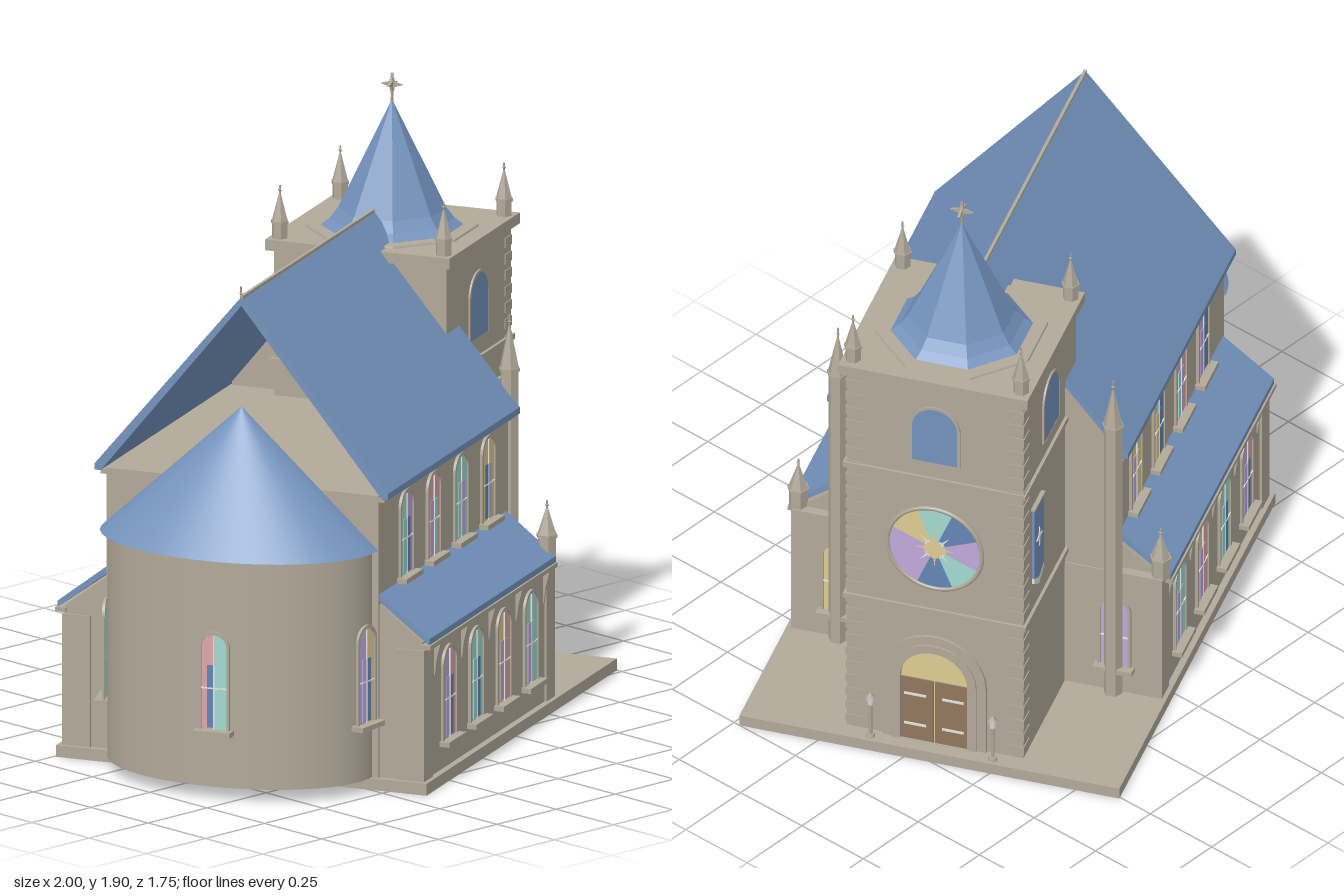
import * as THREE from 'three';

const mat = (name, color) => {
  const m = new THREE.MeshStandardMaterial({ color });
  m.name = name;
  return m;
};

export function createModel() {
  const stone = mat('stone', 0xb1a999), roof = mat('blue slate', 0x7493bd), wood = mat('door wood', 0x92775e);
  const teal = mat('teal glass', 0xa2dad0), purple = mat('purple glass', 0xc0a9da), pink = mat('pink glass', 0xdca8ac);
  const yellow = mat('yellow glass', 0xdfcc92), blue = mat('blue glass', 0x6485b5), white = mat('pale metal', 0xe4e4e0);

  // The church is built along x, then turned to its diagonal position
  const model = new THREE.Group();
  model.name = 'church';
  const body = new THREE.Group();
  body.name = 'building';
  body.position.z = 0.01;
  const turn = new THREE.Group();
  turn.name = 'turnedChurch';
  turn.rotation.y = 0.42;
  turn.add(body);
  model.add(turn);

  const add = (parent, name, geo, m, x = 0, y = 0, z = 0) => {
    const mesh = new THREE.Mesh(geo, m);
    mesh.name = name;
    mesh.position.set(x, y, z);
    parent.add(mesh);
    return mesh;
  };
  // Box given by its limits
  const block = (name, x0, x1, y0, y1, z0, z1, m = stone, parent = body) =>
    add(parent, name, new THREE.BoxGeometry(x1 - x0, y1 - y0, z1 - z0), m, (x0 + x1) / 2, (y0 + y1) / 2, (z0 + z1) / 2);
  // Box on side s, between distances za and zb from the centre line
  const sideBlock = (name, s, x0, x1, y0, y1, za, zb) =>
    block(name, x0, x1, y0, y1, Math.min(s * za, s * zb), Math.max(s * za, s * zb));
  const poly = pts => new THREE.Shape(pts.map(p => new THREE.Vector2(p[0], p[1])));
  const plate = (shape, depth) => new THREE.ExtrudeGeometry(shape, { depth, bevelEnabled: false, curveSegments: 12 });
  // Cross-section of (z, y) points run along x
  const runX = (name, pts, x0, x1, m) =>
    add(body, name, plate(poly(pts.map(p => [-p[0], p[1]])), x1 - x0).rotateY(Math.PI / 2), m, x0);
  const flat = geo => { const g = geo.toNonIndexed(); g.computeVertexNormals(); return g; };
  const facing = (name, x, y, z, angle) => {
    const g = new THREE.Group();
    g.name = name;
    g.position.set(x, y, z);
    g.rotation.y = angle;
    body.add(g);
    return g;
  };
  // Round-topped outline; side -1 or 1 gives only the left or right half
  const arch = (w, h, side = 0, y0 = 0) => {
    const r = w / 2, s = new THREE.Shape();
    s.moveTo(side > 0 ? 0 : -r, y0);
    s.lineTo(side < 0 ? 0 : r, y0);
    if (side < 0) s.lineTo(0, h);
    else s.lineTo(r, h - r);
    s.absarc(0, h - r, r, side < 0 ? Math.PI / 2 : 0, side > 0 ? Math.PI / 2 : Math.PI, false);
    s.closePath();
    return s;
  };
  const archFrame = (g, name, w, h, t, depth) => {
    const s = arch(w, h);
    s.holes.push(arch(w - 2 * t, h - t, 0, 0.001));
    add(g, name, plate(s, depth), stone);
  };

  // Stained-glass window: two halves with a lower pane in each
  const glassWindow = (x, y, z, angle, w, h, [a, b, c, d]) => {
    const g = facing('stainedWindow', x, y, z, angle);
    archFrame(g, 'windowFrame', w, h, 0.009, 0.009);
    const gw = w - 0.017;
    add(g, 'leftGlass', plate(arch(gw, h - 0.009, -1), 0.004), a);
    add(g, 'rightGlass', plate(arch(gw, h - 0.009, 1), 0.004), b);
    block('leftPane', -gw * 0.27, 0, 0.008, h * 0.66, 0, 0.006, c, g);
    block('rightPane', 0, gw * 0.27, 0.008, h * 0.66, 0, 0.006, d, g);
    block('mullion', -0.002, 0.002, 0, h - 0.015, 0, 0.008, white, g);
    block('crossBar', -gw / 2, gw / 2, h * 0.42, h * 0.42 + 0.004, 0, 0.008, white, g);
    block('windowSill', -w / 2 - 0.01, w / 2 + 0.01, -0.014, 0.002, -0.01, 0.032, stone, g);
  };

  // Hexagonal pinnacle with spike and tip
  const pinnacle = (x, z, y0, y1, r, spike) => {
    const g = facing('pinnacle', x, 0, z, 0), ys = y1 - spike;
    add(g, 'shaft', flat(new THREE.CylinderGeometry(r, r, ys - y0, 6)), stone, 0, (ys + y0) / 2);
    add(g, 'collar', flat(new THREE.CylinderGeometry(r * 1.15, r * 1.15, 0.01, 6)), stone, 0, ys);
    add(g, 'spike', flat(new THREE.ConeGeometry(r * 1.08, spike * 0.88, 6)), stone, 0, ys + spike * 0.44);
    add(g, 'tip', new THREE.CylinderGeometry(0.003, 0.003, spike * 0.3, 6), stone, 0, y1 - spike * 0.15);
    add(g, 'knob', new THREE.OctahedronGeometry(0.007), stone, 0, y1 - spike * 0.13);
  };
  // Four-pointed star outline
  const star = (long, short, inner) => poly([[0, long], [inner, inner], [short, 0], [inner, -inner],
    [0, -long], [-inner, -inner], [-short, 0], [-inner, inner]]);

  // Base plate, open beneath the tower
  const base = poly([[-0.74, -0.606], [0.82, -0.606], [0.82, 0.606], [-0.74, 0.606]]);
  base.holes.push(poly([[0.25, -0.27], [0.25, 0.27], [0.745, 0.27], [0.745, -0.27]]));
  add(body, 'basePlate', plate(base, 0.037).rotateX(-Math.PI / 2), stone);

  // Nave with a folded roof left open at the apse end
  block('naveWalls', -0.73, 0.345, 0.035, 0.925, -0.445, 0.445);
  runX('frontGable', [[-0.445, 0.92], [0.445, 0.92], [0.445, 0.95], [0, 1.49], [-0.445, 0.95]], 0.3, 0.345, stone);
  runX('naveRoof', [[-0.48, 0.918], [-0.46, 0.918], [0, 1.482], [0.46, 0.918], [0.48, 0.918], [0.48, 0.938], [0, 1.51], [-0.48, 0.938]],
    -0.74, 0.34, roof);
  block('ridgeCap', -0.74, 0.34, 1.503, 1.513, -0.005, 0.005);
  const bays = [-0.51, -0.287, -0.064, 0.159];
  const frontUpper = [[teal, purple, teal, blue], [pink, pink, purple, teal], [teal, teal, teal, purple], [yellow, yellow, blue, purple]];
  const backUpper = [[purple, blue, purple, blue], [purple, pink, teal, purple], [teal, blue, yellow, blue], [yellow, yellow, purple, yellow]];
  const lower = [[purple, pink, purple, blue], [teal, teal, teal, blue], [yellow, pink, purple, pink], [teal, teal, purple, teal]];

  // Both long sides, mirrored
  for (const s of [1, -1]) {
    const side = s > 0 ? 0 : Math.PI;
    sideBlock('naveCornice', s, -0.73, 0.338, 0.905, 0.92, 0.44, 0.465);
    runX('aisleWalls', [[s * 0.42, 0.035], [s * 0.585, 0.035], [s * 0.585, 0.475], [s * 0.42, 0.6]], -0.72, 0.32, stone);
    runX('aisleRoof', [[s * 0.44, 0.618], [s * 0.44, 0.595], [s * 0.608, 0.468], [s * 0.608, 0.488]], -0.722, 0.315, roof);
    sideBlock('aisleGutter', s, -0.728, 0.315, 0.455, 0.469, 0.58, 0.614);
    bays.forEach((x, i) => {
      glassWindow(x, 0.625, s * 0.445, side, 0.115, 0.27, (s > 0 ? frontUpper : backUpper)[i]);
      glassWindow(x, 0.125, s * 0.585, side, 0.118, 0.295, lower[i]);
    });
    for (let i = 0; i < 5; i++) {
      const x = -0.622 + i * 0.223;
      runX('eaveBracket', [[s * 0.58, 0.35], [s * 0.588, 0.35], [s * 0.594, 0.4], [s * 0.608, 0.455], [s * 0.58, 0.455]], x - 0.004, x + 0.004, stone);
    }
    sideBlock('aisleCorner', s, -0.726, -0.65, 0.035, 0.45, 0.5, 0.592);
    // End wall beside the tower, with its window behind the tall pinnacle
    sideBlock('aisleEndWall', s, 0.28, 0.35, 0.035, 0.487, 0.27, 0.592);
    glassWindow(0.35, 0.135, s * 0.442, Math.PI / 2, 0.105, 0.26, s > 0 ? [yellow, yellow, purple, yellow] : [purple, purple, teal, purple]);
    pinnacle(0.358, s * 0.439, 0.035, 1.22, 0.03, 0.17);
    pinnacle(0.318, s * 0.578, 0.48, 0.66, 0.03, 0.11);
  }

  // Rounded apse with half-cone roof
  const apse = add(body, 'apseWall', new THREE.CylinderGeometry(1, 1, 0.72, 48, 1, false, Math.PI, Math.PI), stone, -0.735, 0.4);
  apse.scale.set(0.285, 1, 0.425);
  const cone = add(body, 'apseRoof', new THREE.ConeGeometry(1, 0.41, 48, 1, false, Math.PI, Math.PI), roof, -0.738, 0.96);
  cone.scale.set(0.303, 1, 0.447);
  [[0.06, [pink, teal, blue, teal]], [1.42, [purple, yellow, purple, blue]], [-1.42, [purple, teal, purple, yellow]]].forEach(([f, glass]) => {
    const nx = -Math.cos(f) / 0.285, nz = Math.sin(f) / 0.425;
    glassWindow(-0.738 - 0.285 * Math.cos(f), 0.22, 0.427 * Math.sin(f), Math.atan2(nx, nz), 0.1, 0.31, glass);
  });

  // Tower shaft, string courses, top slab and corner stones
  block('towerWalls', 0.235, 0.762, 0.035, 1.39, -0.282, 0.282);
  for (const y of [0.525, 1.025]) block('stringCourse', 0.223, 0.772, y, y + 0.018, -0.292, 0.292);
  block('towerSlab', 0.21, 0.786, 1.386, 1.42, -0.302, 0.302);
  for (let i = 0; i < 26; i++) {
    const y = 0.05 + i * 0.051;
    for (const s of [1, -1]) sideBlock('cornerStone', s, 0.71, 0.765, y, y + 0.03, 0.23, 0.285);
  }
  for (const x of [0.247, 0.742]) for (const s of [1, -1]) pinnacle(x, s * 0.268, 1.41, 1.585, 0.025, 0.115);

  // Spire with flared foot and star finial
  add(body, 'spireFoot', flat(new THREE.CylinderGeometry(0.262, 0.265, 0.008, 8).rotateY(Math.PI / 8)), stone, 0.495, 1.422);
  const profile = [[0.22, 1.424], [0.19, 1.447], [0.165, 1.48], [0, 1.82]].map(p => new THREE.Vector2(p[0], p[1]));
  add(body, 'spire', flat(new THREE.LatheGeometry(profile, 8).rotateY(Math.PI / 8)), roof, 0.495);
  for (const a of [0, Math.PI / 2]) {
    const g = facing('finial', 0.495, 1.868, 0, a);
    add(g, 'finialStar', plate(star(0.036, 0.036, 0.008), 0.008), stone, 0, 0, -0.004);
  }
  add(body, 'finialRod', new THREE.CylinderGeometry(0.003, 0.005, 0.05, 6), stone, 0.495, 1.83);

  // Belfry openings and side banners
  for (const [x, z, a] of [[0.762, 0, Math.PI / 2], [0.495, 0.282, 0], [0.495, -0.282, Math.PI]]) {
    const g = facing('belfryWindow', x, 1.1, z, a);
    archFrame(g, 'belfryFrame', 0.162, 0.212, 0.009, 0.006);
    add(g, 'belfryPanel', plate(arch(0.146, 0.204), 0.005), roof);
  }
  for (const s of [1, -1]) {
    const g = facing('banner', 0.637, 0, s * 0.282, s > 0 ? 0 : Math.PI);
    block('bannerRod', -0.052, 0.052, 0.925, 0.933, 0, 0.014, stone, g);
    add(g, 'bannerCloth', plate(poly([[-0.049, 0.925], [-0.049, 0.668], [0, 0.643], [0.049, 0.668], [0.049, 0.925]]), 0.008), roof, 0, 0, 0.002);
    add(g, 'bannerHem', plate(poly([[-0.049, 0.668], [-0.049, 0.648], [0, 0.617], [0.049, 0.648], [0.049, 0.668], [0, 0.643]]), 0.008), white, 0, 0, 0.002);
    add(g, 'bannerStar', plate(star(0.036, 0.03, 0.006), 0.003), white, 0, 0.797, 0.01);
  }

  // Rose window
  const rose = facing('roseWindow', 0.762, 0.775, 0, Math.PI / 2);
  const petals = [purple, blue, teal, yellow, purple, purple, blue, teal];
  petals.forEach((m, i) => {
    add(rose, 'petalGlass', new THREE.CircleGeometry(0.148, 6, (i - 0.5) * Math.PI / 4, Math.PI / 4), m, 0, 0, 0.005);
    const ray = add(rose, 'roseRay', new THREE.CircleGeometry(0.07, 3), i % 2 ? white : yellow, 0, 0, 0.007);
    ray.scale.set(1, 0.18, 1);
    ray.rotation.z = i * Math.PI / 4;
  });
  add(rose, 'roseCentre', new THREE.CircleGeometry(0.03, 16), yellow, 0, 0, 0.009);
  add(rose, 'roseRim', new THREE.TorusGeometry(0.151, 0.007, 8, 40), stone, 0, 0, 0.004);

  // Arched doorway with paired doors and lamps
  const door = facing('doorway', 0.762, 0.037, 0, Math.PI / 2);
  archFrame(door, 'outerArch', 0.33, 0.402, 0.033, 0.01);
  archFrame(door, 'innerArch', 0.27, 0.372, 0.028, 0.016);
  add(door, 'tympanum', plate(arch(0.216, 0.346), 0.004), yellow);
  for (const s of [-1, 1]) {
    block('doorLeaf', s < 0 ? -0.106 : 0.002, s < 0 ? -0.002 : 0.106, 0, 0.232, 0, 0.009, wood, door);
    for (const y of [0.055, 0.168]) block('hinge', s * 0.06 - 0.035, s * 0.06 + 0.035, y, y + 0.008, 0.008, 0.012, white, door);
    const lamp = facing('lampPost', 0.797, 0.037, s * 0.195, 0);
    add(lamp, 'lampFoot', new THREE.CylinderGeometry(0.012, 0.015, 0.012, 8), stone, 0, 0.006);
    add(lamp, 'lampPole', new THREE.CylinderGeometry(0.006, 0.006, 0.12, 8), stone, 0, 0.065);
    add(lamp, 'lantern', new THREE.CylinderGeometry(0.013, 0.01, 0.024, 6), white, 0, 0.135);
    add(lamp, 'lampCap', new THREE.ConeGeometry(0.017, 0.02, 6), stone, 0, 0.157);
  }
  return model;
}
